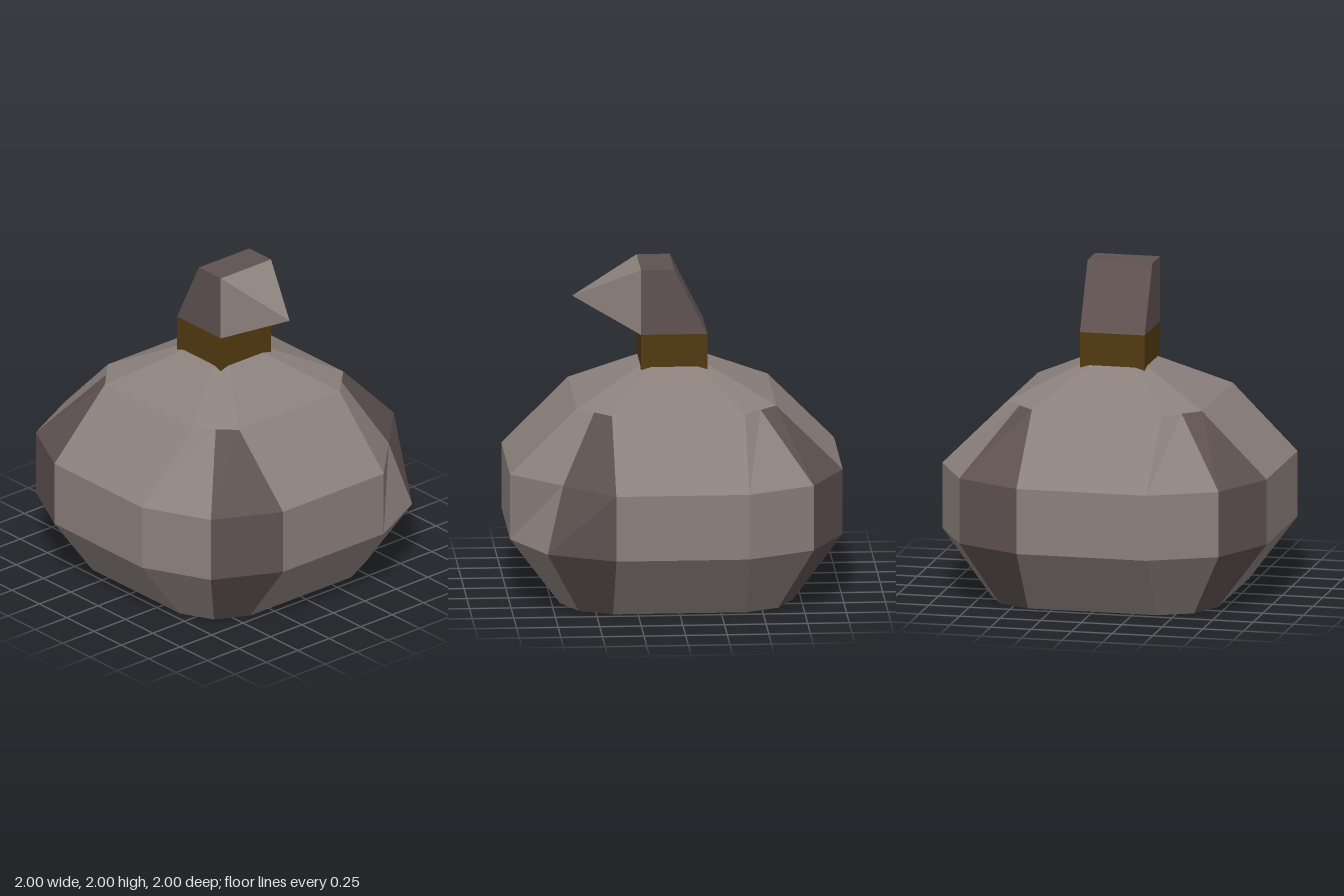
import * as THREE from 'three';

const cloth = new THREE.MeshStandardMaterial({ color: 0x8b807c });
cloth.name = 'cloth';
const darkCloth = new THREE.MeshStandardMaterial({ color: 0x5f5251 });
darkCloth.name = 'darkCloth';
const cord = new THREE.MeshStandardMaterial({ color: 0x523a10 });
cord.name = 'cord';

// Flat-faced mesh from a list of [a, b, c, ...] convex faces
function faceMesh(name, faces, material) {
  const pos = [];
  for (const f of faces)
    for (let i = 1; i < f.length - 1; i++) pos.push(...f[0], ...f[i], ...f[i + 1]);
  const g = new THREE.BufferGeometry();
  g.setAttribute('position', new THREE.Float32BufferAttribute(pos, 3));
  g.computeVertexNormals();
  const mesh = new THREE.Mesh(g, material);
  mesh.name = name;
  return mesh;
}

// Twelve-sided ring: flat side half-width, distance of the sides, corner position
function ring(y, half, side, corner) {
  const pts = [];
  for (let k = 0; k < 4; k++) {
    for (let [x, z] of [[half, side], [corner, corner], [side, half]]) {
      for (let r = 0; r < k; r++) [x, z] = [z, -x];
      pts.push([x, y, z]);
    }
  }
  return pts;
}

export function createModel() {
  const model = new THREE.Group();
  model.name = 'sack';

  // Body of the sack
  const rings = [
    ring(0, 0.4, 0.7, 0.6),
    ring(0.4, 0.4, 1, 0.8),
    ring(0.8, 0.4, 1, 0.8),
    ring(1.2, 0.4, 0.6, 0.5),
    ring(1.4, 0.14, 0.2, 0.17),
  ];
  rings[2][4] = [0.7, 0.8, -0.7]; // dent in the back corner

  const light = [], dark = [];
  for (let r = 0; r < rings.length - 1; r++) {
    for (let i = 0; i < 12; i++) {
      const j = (i + 1) % 12;
      const patch = i % 3 === 1 && r < 3; // one fold of each corner is dark
      (patch ? dark : light).push([rings[r][i], rings[r][j], rings[r + 1][j], rings[r + 1][i]]);
    }
  }
  model.add(faceMesh('body', [...light, rings[4]], cloth));
  model.add(faceMesh('cornerFolds', dark, darkCloth));
  model.add(faceMesh('base', [[...rings[0]].reverse()], darkCloth));

  // Cord around the neck
  const neck = new THREE.Mesh(new THREE.BoxGeometry(0.4, 0.24, 0.4), cord);
  neck.name = 'neckCord';
  neck.position.y = 1.48;
  model.add(neck);

  // Gathered top: slanted block
  const profile = new THREE.Shape([[-0.2, 1.6], [0.2, 1.6], [0.2, 2], [0, 2]]
    .map(([x, y]) => new THREE.Vector2(x, y)));
  const topGeo = new THREE.ExtrudeGeometry(profile, { depth: 0.4, bevelEnabled: false });
  topGeo.translate(0, 0, -0.2);
  const top = new THREE.Mesh(topGeo, darkCloth);
  top.name = 'gatheredTop';
  model.add(top);

  // Pointed flap on the side of the top
  const tip = [0.6, 1.8, 0];
  const base = [[0.2, 1.6, 0.2], [0.2, 1.6, -0.2], [0.2, 2, -0.2], [0.2, 2, 0.2]];
  model.add(faceMesh('pointedFlap', base.map((p, i) => [p, base[(i + 1) % 4], tip]), cloth));

  return model;
}
